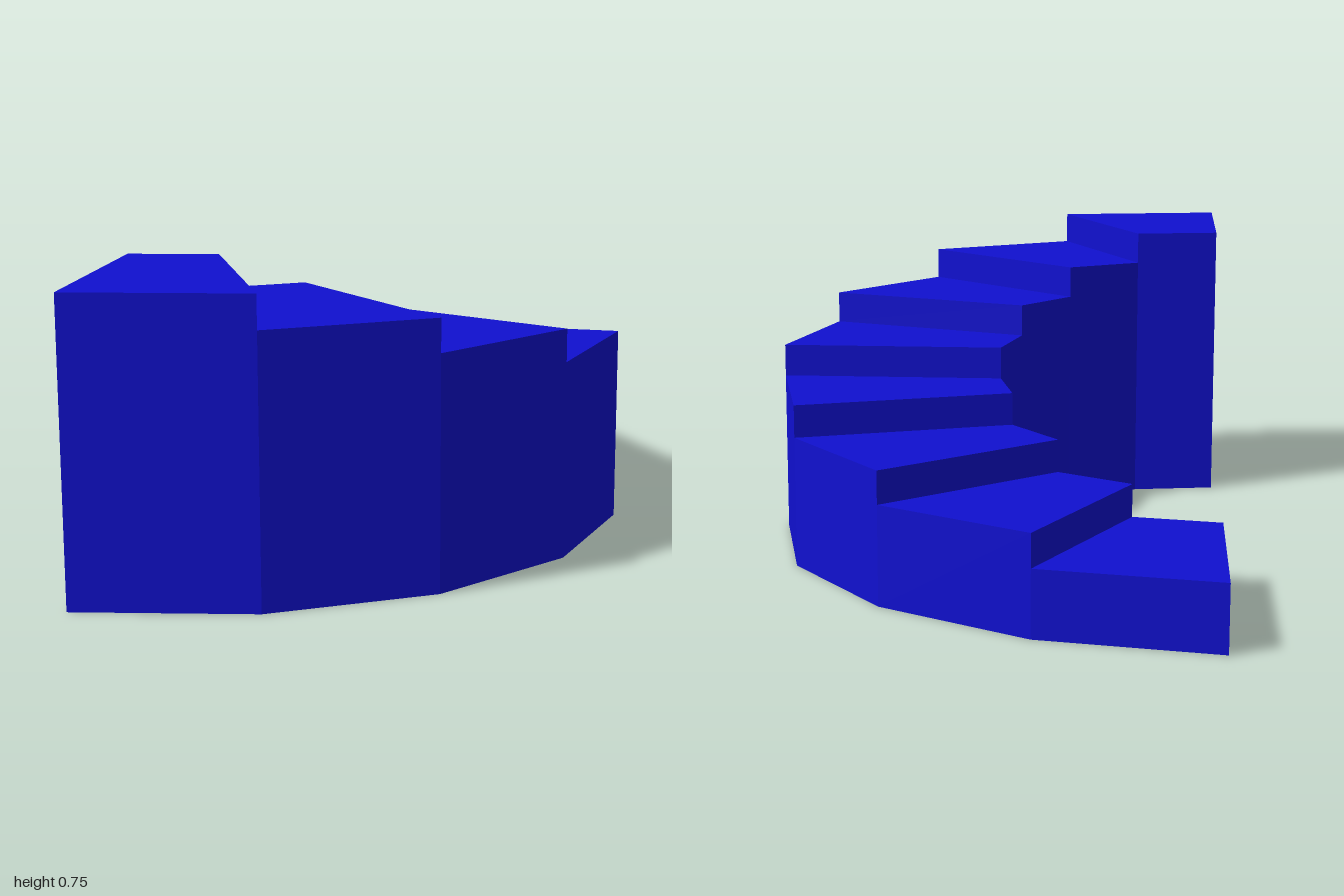
import * as THREE from 'three';

const STEPS = 8;
const RISE = 1 / 12;
const CENTRE_X = -0.58;

// Point on an elliptical plan curve; joint 0 is the low back end, joint STEPS the high front end
function planPoint(joint, a, b) {
  const t = -Math.PI / 2 + (joint * Math.PI) / STEPS;
  return [CENTRE_X + a * Math.cos(t), b * Math.sin(t)];
}
const outer = (joint) => planPoint(joint, 1.16, 1);
const inner = (joint) => planPoint(joint, 0.58, 0.5);
const height = (step) => (step + 2) * RISE;

export function createModel() {
  const model = new THREE.Group();
  model.name = 'curvedStaircase';
  const material = new THREE.MeshStandardMaterial({
    color: 0x1010d0, flatShading: true, side: THREE.DoubleSide,
  });

  // Four-cornered panel, corners counter-clockwise seen from its front
  function addPanel(parent, name, a, b, c, d) {
    const geometry = new THREE.BufferGeometry();
    geometry.setAttribute('position',
      new THREE.Float32BufferAttribute([a, b, c, d].flat(), 3));
    geometry.setIndex([0, 1, 2, 0, 2, 3]);
    geometry.computeVertexNormals();
    const mesh = new THREE.Mesh(geometry, material);
    mesh.name = name;
    parent.add(mesh);
  }

  // Upright panel standing over the plan line from p to q
  function addWall(parent, name, p, q, bottom, top) {
    addPanel(parent, name,
      [p[0], bottom, p[1]], [q[0], bottom, q[1]],
      [q[0], top, q[1]], [p[0], top, p[1]]);
  }

  for (let i = 0; i < STEPS; i++) {
    const step = new THREE.Group();
    step.name = `step${i + 1}`;
    const y = height(i);
    const o0 = outer(i), o1 = outer(i + 1);
    const n0 = inner(i), n1 = inner(i + 1);

    // Tread, side walls down to the floor, and riser from the step below; underside is open
    addPanel(step, 'tread',
      [n0[0], y, n0[1]], [n1[0], y, n1[1]], [o1[0], y, o1[1]], [o0[0], y, o0[1]]);
    addWall(step, 'outerWall', o1, o0, 0, y);
    addWall(step, 'innerWall', n0, n1, 0, y);
    addWall(step, 'riser', o0, n0, i === 0 ? 0 : height(i - 1), y);
    model.add(step);
  }

  // Full-height wall closing the high end
  addWall(model, 'endWall', inner(STEPS), outer(STEPS), 0, height(STEPS - 1));
  return model;
}
